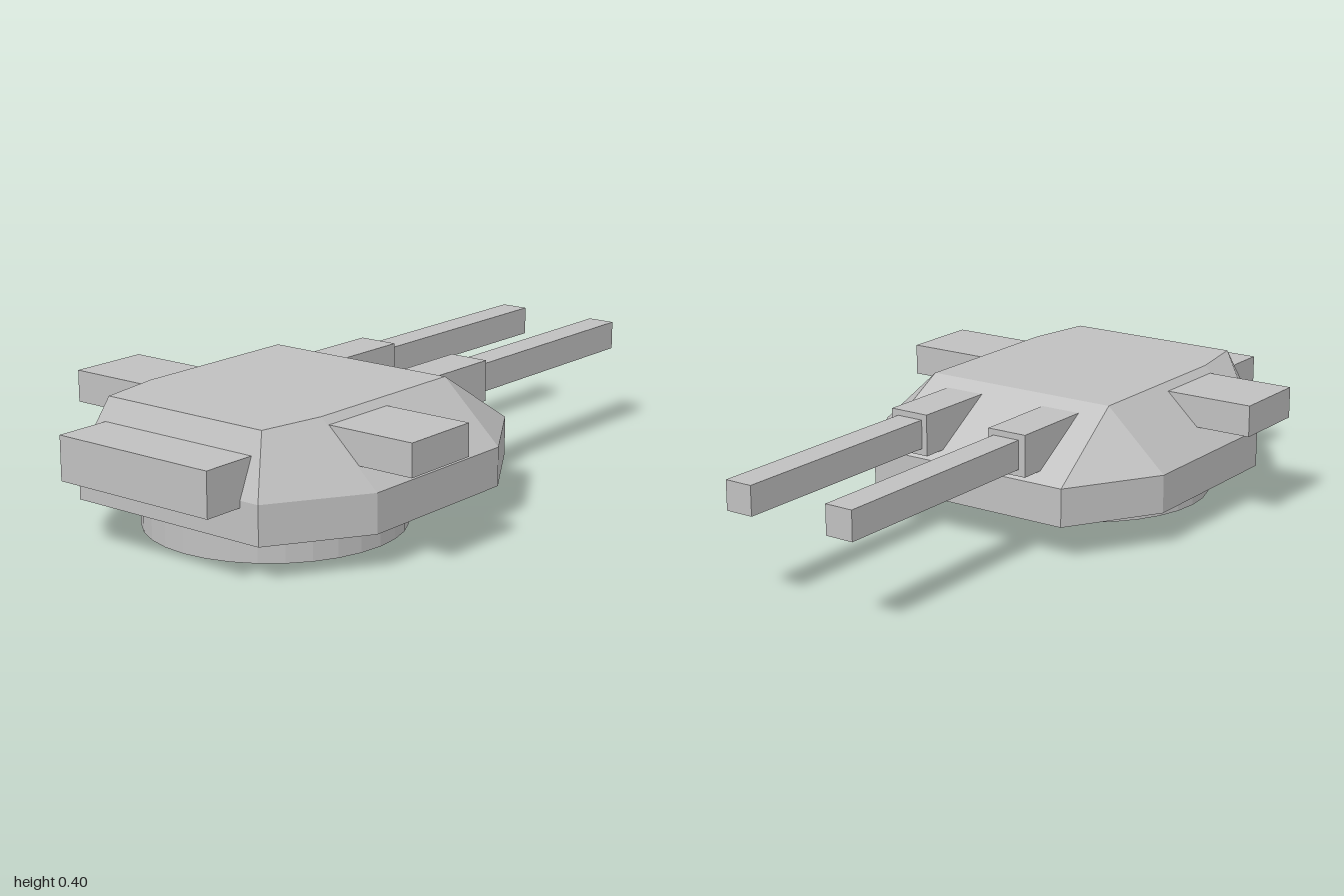
import * as THREE from 'three';

const armour = new THREE.MeshStandardMaterial({ color: 0xc0c0c0 });
armour.name = 'armour grey';

// Box given by its minimum and maximum on each axis
function addBox(group, name, [x0, x1], [y0, y1], [z0, z1]) {
  const mesh = new THREE.Mesh(new THREE.BoxGeometry(x1 - x0, y1 - y0, z1 - z0), armour);
  mesh.position.set((x0 + x1) / 2, (y0 + y1) / 2, (z0 + z1) / 2);
  mesh.name = name;
  group.add(mesh);
}

// Closed loop at height y from a half outline [x, z], mirrored across z
function ring(half, y) {
  const left = half.map(([x, z]) => new THREE.Vector3(x, y, z));
  const right = half.map(([x, z]) => new THREE.Vector3(x, y, -z)).reverse();
  return [...left, ...right];
}

// Faceted hull: vertical skirt, sloping roof sides, flat caps
function hullGeometry() {
  const plan = [[-0.875, 0.33], [-0.6, 0.505], [-0.05, 0.505], [0.225, 0.335]];
  const roof = [[-0.8, 0.28], [-0.6, 0.315], [-0.05, 0.315], [-0.05, 0.315]];
  const rings = [ring(plan, 0.105), ring(plan, 0.22), ring(roof, 0.395)];
  const points = [];
  const tri = (a, b, c) => {
    if (!a.equals(b) && !b.equals(c) && !c.equals(a)) points.push(a, b, c);
  };
  const n = rings[0].length;
  for (let r = 0; r < 2; r++) {
    for (let i = 0; i < n; i++) {
      const j = (i + 1) % n;
      const a = rings[r][i], b = rings[r][j], c = rings[r + 1][j], d = rings[r + 1][i];
      // The diagonal is mirrored between the two sides
      if (i < n / 2) { tri(a, b, d); tri(b, c, d); }
      else { tri(a, b, c); tri(a, c, d); }
    }
  }
  for (let i = 1; i < n - 1; i++) {
    tri(rings[2][0], rings[2][i], rings[2][i + 1]);
    tri(rings[0][0], rings[0][i + 1], rings[0][i]);
  }
  const geometry = new THREE.BufferGeometry().setFromPoints(points);
  geometry.computeVertexNormals();
  return geometry;
}

export function createModel() {
  const group = new THREE.Group();
  group.name = 'gunTurret';

  const hull = new THREE.Mesh(hullGeometry(), armour);
  hull.name = 'hull';
  group.add(hull);

  // Round mounting ring with flat facets
  const drum = new THREE.CylinderGeometry(0.382, 0.382, 0.11, 32).toNonIndexed();
  drum.computeVertexNormals();
  const base = new THREE.Mesh(drum, armour);
  base.position.set(-0.43, 0.055, 0);
  base.name = 'baseRing';
  group.add(base);

  // Rear bustle box
  addBox(group, 'rearBox', [-1, -0.81], [0.2, 0.33], [-0.268, 0.268]);

  for (const side of [1, -1]) {
    const span = (near, far) => (side > 0 ? [near, far] : [-far, -near]);
    const label = side > 0 ? 'Left' : 'Right';
    // Twin guns
    addBox(group, 'barrelSleeve' + label, [-0.01, 0.262], [0.245, 0.37], span(0.11, 0.237));
    addBox(group, 'barrel' + label, [0.25, 1], [0.265, 0.352], span(0.128, 0.215));
    // Rangefinder arm
    addBox(group, 'rangefinder' + label, [-0.595, -0.345], [0.28, 0.375], span(0.3, 0.615));
  }
  return group;
}
